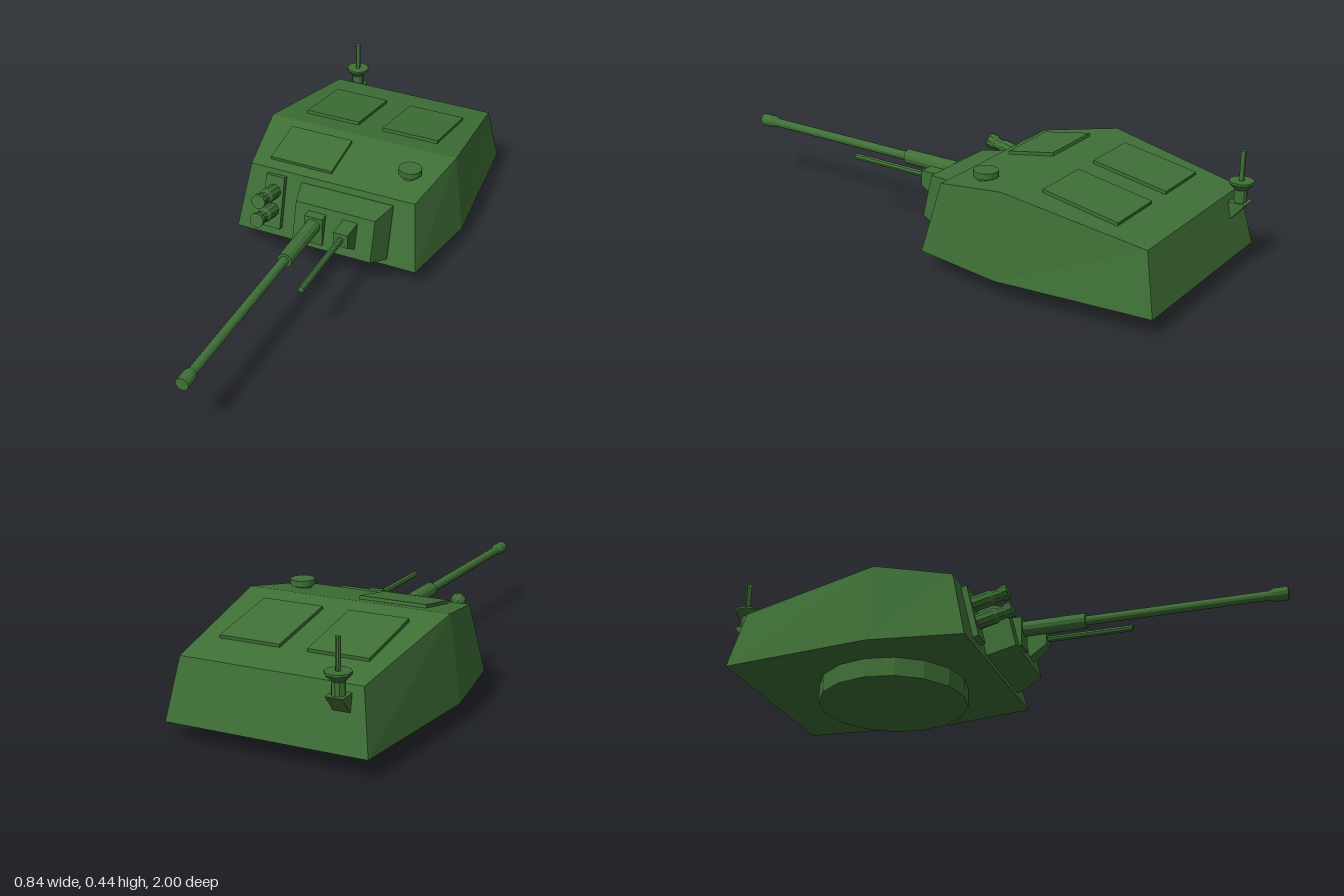
import * as THREE from 'three';

const green = new THREE.MeshStandardMaterial({ color: 0x3f7037, flatShading: true });

// Closed solid through rectangular sections, ordered front (+z) to back.
// Each section: [[y, z, x0, x1] for the lower edge, the same for the upper edge].
function loft(sections) {
  const pos = [], idx = [], n = sections.length;
  for (const [b, t] of sections) {
    pos.push(b[2], b[0], b[1], b[3], b[0], b[1], t[3], t[0], t[1], t[2], t[0], t[1]);
  }
  for (let s = 0; s < n - 1; s++) {
    for (let i = 0; i < 4; i++) {
      const j = (i + 1) % 4, a = s * 4, c = a + 4;
      idx.push(a + i, c + i, c + j, a + i, c + j, a + j);
    }
  }
  const e = (n - 1) * 4;
  idx.push(0, 1, 2, 0, 2, 3, e, e + 2, e + 1, e, e + 3, e + 2);
  const g = new THREE.BufferGeometry();
  g.setAttribute('position', new THREE.Float32BufferAttribute(pos, 3));
  g.setIndex(idx);
  const flat = g.toNonIndexed();
  flat.computeVertexNormals();
  return flat;
}

function add(parent, name, geometry, x = 0, y = 0, z = 0) {
  const mesh = new THREE.Mesh(geometry, green);
  mesh.name = name;
  mesh.position.set(x, y, z);
  parent.add(mesh);
  return mesh;
}

// Turned solid from [radius, height] points, bottom to top
const turned = (points, sides) =>
  new THREE.LatheGeometry(points.map(([r, h]) => new THREE.Vector2(r, h)), sides);
// The same, with its axis along +z
const turnedZ = (points, sides) => turned(points, sides).rotateX(Math.PI / 2);

export function createModel() {
  const model = new THREE.Group();
  model.name = 'turret';

  // Faceted armoured body
  add(model, 'body', loft([
    [[0.07, -0.06, -0.365, 0.365], [0.325, -0.12, -0.33, 0.33]],
    [[0.07, -0.40, -0.42, 0.42], [0.375, -0.40, -0.38, 0.38]],
    [[0.07, -0.965, -0.365, 0.365], [0.285, -0.918, -0.33, 0.33]],
  ]));

  // Turret ring
  add(model, 'turretRing', new THREE.CylinderGeometry(0.275, 0.275, 0.07, 16), 0, 0.035, -0.465);

  // Roof hatches lying on the sloped roof panels
  const roofHatch = (name, x0, x1, z0, z1) => {
    const z = (z0 + z1) / 2, front = z > -0.4;
    const slope = front ? -0.05 / 0.28 : 0.09 / 0.518;
    const y = 0.375 + slope * (z + 0.4);
    const tilt = Math.atan(slope);
    const hatch = add(model, name,
      new THREE.BoxGeometry(x1 - x0, 0.024, (z1 - z0) / Math.cos(tilt)), (x0 + x1) / 2, y, z);
    hatch.rotation.x = -tilt;
  };
  roofHatch('rearHatchRight', -0.275, -0.055, -0.775, -0.49);
  roofHatch('rearHatchLeft', 0.045, 0.27, -0.775, -0.49);
  roofHatch('frontHatch', -0.27, -0.02, -0.35, -0.165);

  // Roof sight
  add(model, 'roofSight', turned([
    [0, 0.29], [0.03, 0.29], [0.03, 0.36], [0.044, 0.36], [0.044, 0.382], [0, 0.382],
  ], 12), 0.255, 0, -0.255);

  // Fittings that follow the sloped front plate
  const frontPlate = new THREE.Group();
  frontPlate.name = 'frontPlateFittings';
  frontPlate.position.set(0, 0.07, -0.06);
  frontPlate.rotation.x = -Math.atan(0.06 / 0.255);
  model.add(frontPlate);

  add(frontPlate, 'mantlet', loft([
    [[0.041, 0.108, -0.088, 0.225], [0.204, 0.108, -0.088, 0.225]],
    [[0.026, 0.012, -0.115, 0.25], [0.236, 0.012, -0.115, 0.25]],
    [[0.026, -0.01, -0.115, 0.25], [0.236, -0.01, -0.115, 0.25]],
  ]));

  add(frontPlate, 'launcherPlate', new THREE.BoxGeometry(0.075, 0.207, 0.03), -0.218, 0.14, 0.007);
  for (const [name, v] of [['upperLauncher', 0.182], ['lowerLauncher', 0.108]]) {
    add(frontPlate, name, turnedZ([
      [0, 0.01], [0.028, 0.01], [0.028, 0.09], [0.022, 0.1],
      [0.022, 0.125], [0.028, 0.135], [0.028, 0.155], [0, 0.155],
    ], 10), -0.218, v, 0);
  }

  // Main gun: cradle, sleeve, barrel and flared muzzle
  add(model, 'gunCradle', new THREE.BoxGeometry(0.07, 0.113, 0.11), 0, 0.2135, -0.015);
  add(model, 'mainGun', turnedZ([
    [0, 0], [0.028, 0], [0.028, 0.275], [0.017, 0.275], [0.017, 0.93],
    [0.024, 0.95], [0.024, 1], [0, 1],
  ], 12), 0, 0.235, 0);

  // Secondary gun with a housing that slopes underneath
  add(model, 'secondaryGunHousing', loft([
    [[0.215, 0.092, 0.104, 0.16], [0.27, 0.092, 0.104, 0.16]],
    [[0.157, 0.01, 0.104, 0.16], [0.27, -0.03, 0.104, 0.16]],
  ]));
  add(model, 'secondaryGun', turnedZ([
    [0, 0.05], [0.012, 0.05], [0.012, 0.415], [0, 0.415],
  ], 8), 0.132, 0.245, 0);

  // Antenna on a wedge bracket at the rear
  add(model, 'antennaBracket', loft([
    [[0.2, -0.93, -0.292, -0.232], [0.26, -0.915, -0.292, -0.232]],
    [[0.2, -0.937, -0.292, -0.232], [0.26, -0.988, -0.292, -0.232]],
  ]));
  add(model, 'antenna', turned([
    [0, 0.25], [0.023, 0.25], [0.023, 0.305], [0.044, 0.328], [0.044, 0.336],
    [0.009, 0.336], [0.009, 0.444], [0, 0.444],
  ], 10), -0.262, 0, -0.955);

  return model;
}
